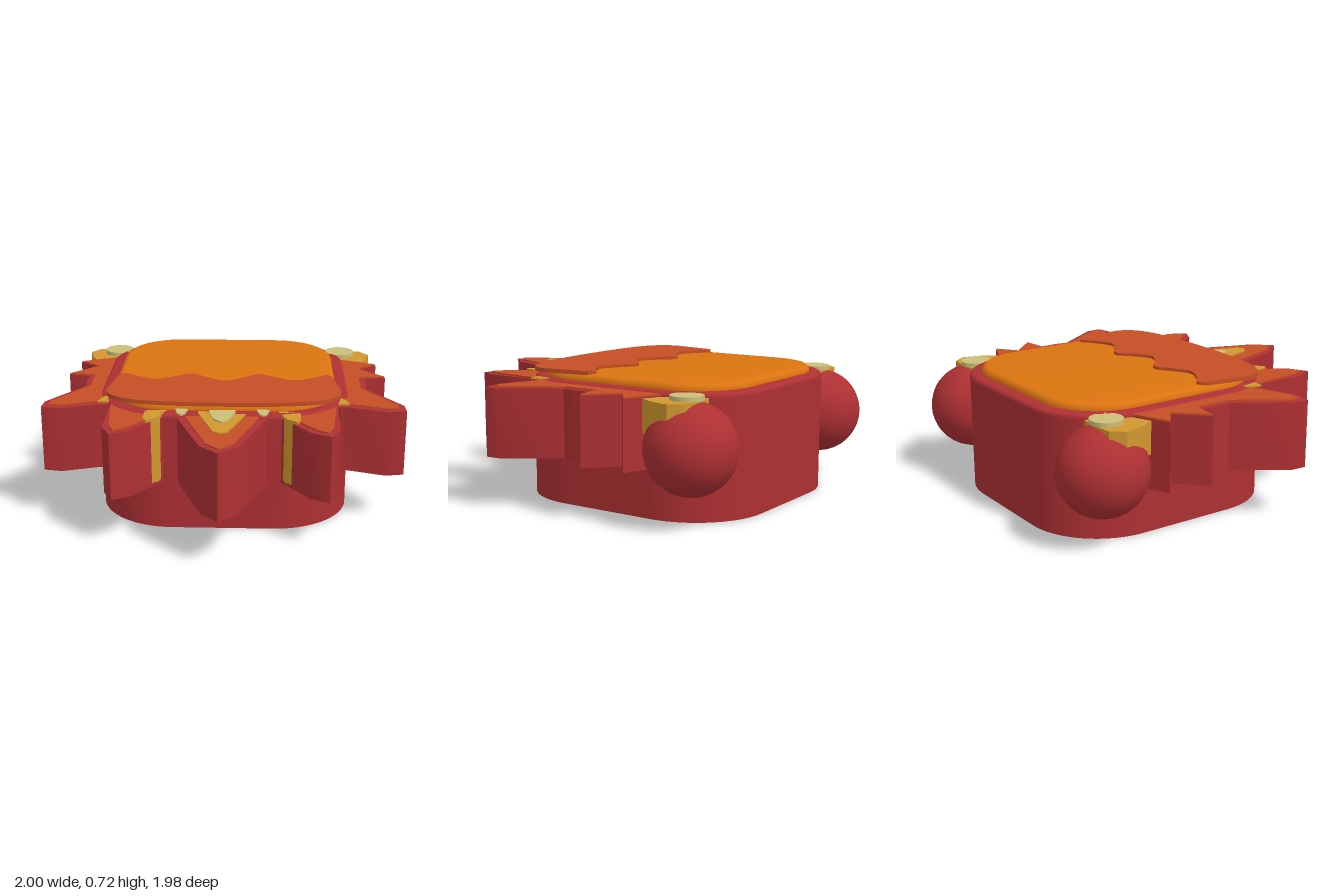
import * as THREE from 'three';
import { toCreasedNormals } from 'three/addons/utils/BufferGeometryUtils.js';

const paint = (name, color) => {
  const m = new THREE.MeshStandardMaterial({ color });
  m.name = name;
  return m;
};

// Closed polygon in plan: each point is [x, z]; side = -1 mirrors it
const polygon = (points, side = 1) =>
  new THREE.Shape(points.map(([x, z]) => new THREE.Vector2(side * x, z)));

// Rounded rectangle in plan
function roundedRect(w, z0, z1, r) {
  const s = new THREE.Shape();
  s.absarc(w - r, z1 - r, r, 0, Math.PI / 2);
  s.absarc(-w + r, z1 - r, r, Math.PI / 2, Math.PI);
  s.absarc(-w + r, z0 + r, r, Math.PI, Math.PI * 1.5);
  s.absarc(w - r, z0 + r, r, Math.PI * 1.5, Math.PI * 2);
  return s;
}

// Upright prism of a plan shape between two heights, optionally with rounded edges
function prism(shape, y0, y1, bevel = 0) {
  const g = new THREE.ExtrudeGeometry(shape, {
    depth: y1 - y0 - 2 * bevel, curveSegments: 16,
    bevelEnabled: bevel > 0, bevelThickness: bevel, bevelSize: bevel, bevelOffset: -bevel, bevelSegments: 4,
  });
  g.rotateX(Math.PI / 2);
  g.translate(0, y1 - bevel, 0);
  return toCreasedNormals(g, 0.6);
}

export function createModel() {
  const model = new THREE.Group();
  const red = paint('deep red', 0xae3033);
  const orange = paint('bright orange', 0xdb7410);
  const rust = paint('rust orange', 0xc44e25);
  const gold = paint('gold', 0xd2982f);
  const cream = paint('cream', 0xcdbe78);

  const add = (name, geometry, material) => {
    const mesh = new THREE.Mesh(geometry, material);
    mesh.name = name;
    model.add(mesh);
    return mesh;
  };

  // Body block, softened rim, face pad and underside panel
  add('body', prism(roundedRect(0.7, -0.92, 0.48, 0.42), 0.003, 0.645), red);
  add('bodyRim', prism(roundedRect(0.7, -0.92, 0.48, 0.42), 0.6, 0.668, 0.022), red);
  add('facePad', prism(roundedRect(0.63, -0.85, 0.41, 0.34), 0.6, 0.706, 0.035), orange);
  add('undersidePanel', prism(roundedRect(0.63, -0.85, 0.41, 0.35), 0, 0.006), orange);

  // Muzzle plate with a wavy upper edge
  const muzzle = new THREE.Shape();
  muzzle.moveTo(0, 0.435);
  muzzle.bezierCurveTo(0.25, 0.435, 0.45, 0.42, 0.55, 0.37);
  muzzle.quadraticCurveTo(0.65, 0.32, 0.65, 0.22);
  muzzle.lineTo(0.61, -0.04);
  muzzle.splineThru([[0.575, -0.065], [0.5, -0.01], [0.385, 0.035], [0.28, -0.02], [0.19, -0.068],
    [0.1, 0], [0, 0.053], [-0.1, 0], [-0.19, -0.068], [-0.28, -0.02], [-0.385, 0.035],
    [-0.5, -0.01], [-0.575, -0.065], [-0.61, -0.04]].map(([x, z]) => new THREE.Vector2(x, z)));
  muzzle.lineTo(-0.65, 0.22);
  muzzle.quadraticCurveTo(-0.65, 0.32, -0.55, 0.37);
  muzzle.bezierCurveTo(-0.45, 0.42, -0.25, 0.435, 0, 0.435);
  add('muzzle', prism(muzzle, 0.7, 0.722), rust);

  // Central mane spike with layered markings
  const plate = (name, points, top, material, side = 1) =>
    add(name, prism(polygon(points, side), top - 0.009, top), material);
  const symmetric = (half) => [...half, ...half.map(([x, z]) => [-x, z]).reverse()];
  add('centerSpike', prism(polygon(symmetric(
    [[0.25, 0.4], [0.24, 0.49], [0.1, 0.89], [0.005, 0.985]])), 0.28, 0.652), red);
  plate('centerSpikeTop', symmetric([[0.2, 0.42], [0.195, 0.5], [0.07, 0.87], [0.005, 0.94]]), 0.66, rust);
  plate('centerGoldMark', symmetric([[0.13, 0.42], [0.13, 0.45], [0.04, 0.72], [0.004, 0.74]]), 0.668, gold);
  plate('centerCreamMark', symmetric([[0.07, 0.42], [0.07, 0.45], [0.045, 0.55], [0.004, 0.6]]), 0.676, cream);

  for (const side of [1, -1]) {
    const shape = (points) => polygon(points, side);
    const label = side > 0 ? 'left' : 'right';

    // Front corner spike
    add(label + 'FrontSpike', prism(shape([[0.6, 0.2], [0.4, 0.3], [0.3, 0.42], [0.32, 0.48], [0.36, 0.53],
      [0.47, 0.685], [0.575, 0.74], [0.625, 0.64], [0.625, 0.25]]), 0.28, 0.652), red);
    plate(label + 'FrontSpikeTop', [[0.58, 0.3], [0.42, 0.36], [0.34, 0.44], [0.375, 0.5], [0.5, 0.66],
      [0.56, 0.7], [0.59, 0.62], [0.62, 0.3]], 0.66, rust, side);

    // Side mane with one broad spike and two jags
    add(label + 'SideMane', prism(shape([[0.55, 0.2], [0.64, 0.29], [0.69, 0.29], [0.9, 0.36], [1, 0.34],
      [0.995, 0.25], [0.805, -0.03], [0.815, -0.1], [0.81, -0.21], [0.935, -0.24], [0.785, -0.39],
      [0.9, -0.48], [0.69, -0.57], [0.55, -0.5]]), 0.28, 0.652), red);
    plate(label + 'SideManeTop', [[0.6, 0.2], [0.65, 0.25], [0.7, 0.25], [0.9, 0.32], [0.96, 0.31],
      [0.96, 0.26], [0.775, -0.02], [0.78, -0.1], [0.775, -0.22], [0.93, -0.24], [0.78, -0.39],
      [0.895, -0.48], [0.69, -0.565], [0.6, -0.5]], 0.66, rust, side);

    // Small fangs and side marks
    add(label + 'Fang', prism(shape([[0.42, 0.41], [0.3, 0.41], [0.345, 0.53], [0.4, 0.57], [0.42, 0.54]]),
      0.3, 0.668), gold);
    plate(label + 'CreamTooth', [[0.255, 0.41], [0.185, 0.41], [0.2, 0.48], [0.22, 0.5], [0.24, 0.48]],
      0.677, cream, side);
    plate(label + 'CheekMark', [[0.63, 0.29], [0.65, 0.19], [0.67, 0.21], [0.695, 0.285]], 0.672, gold, side);

    // Ear: ball, gold inset and cream spot
    const ear = add(label + 'Ear', new THREE.SphereGeometry(0.242, 32, 20), red);
    ear.position.set(side * 0.7, 0.4, -0.75);
    add(label + 'InnerEar', prism(shape([[0.6, -0.79], [0.72, -0.8], [0.82, -0.79], [0.875, -0.72],
      [0.85, -0.62], [0.8, -0.525], [0.72, -0.515], [0.6, -0.56]]), 0.47, 0.645), gold);
    const spot = add(label + 'EarSpot', new THREE.CylinderGeometry(0.088, 0.088, 0.024, 24), cream);
    spot.position.set(side * 0.692, 0.656, -0.72);
  }
  return model;
}
